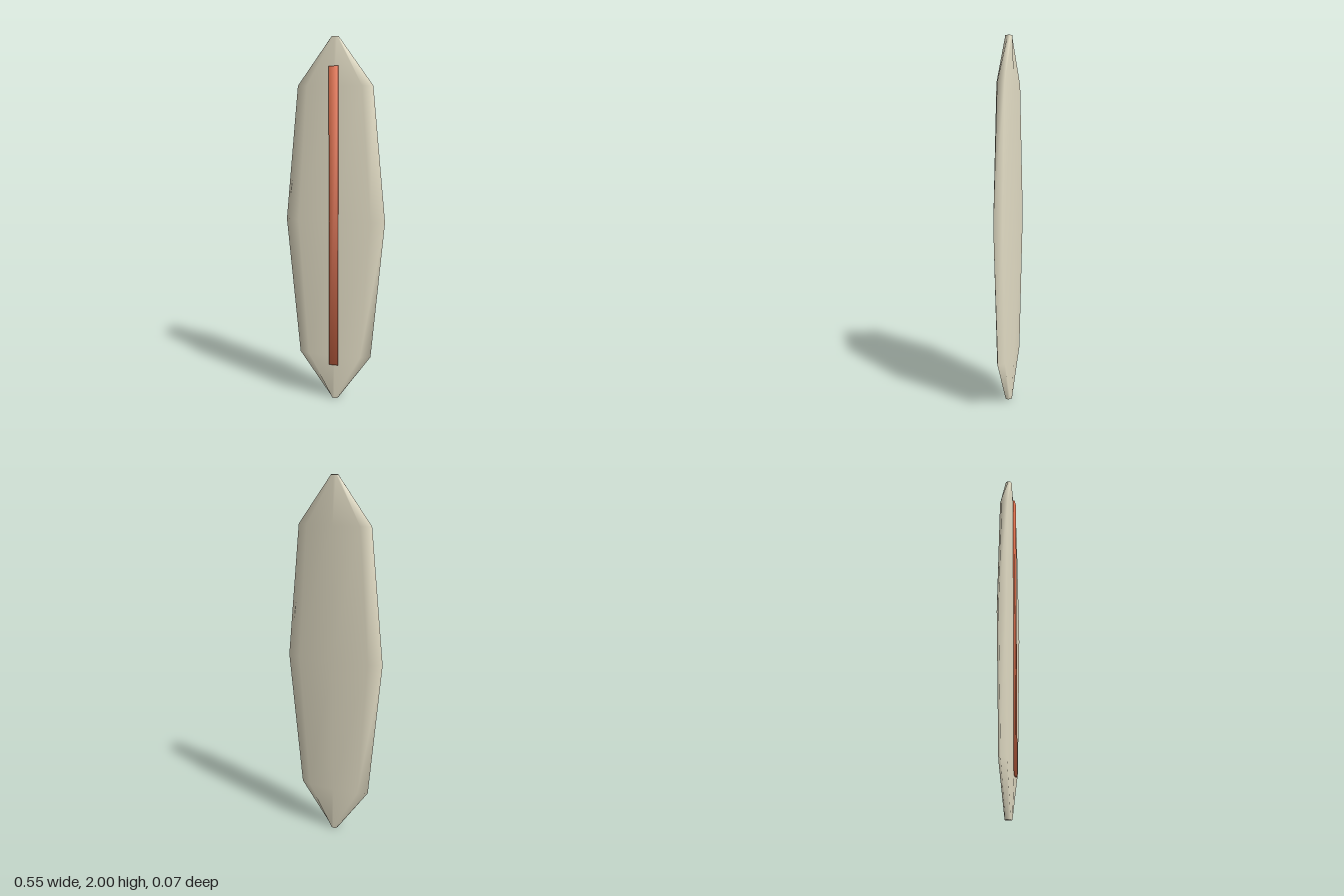
import * as THREE from 'three';

// Half-round hull section, counter-clockwise seen from above: [x, z]
const section = [
  [0.275, -0.004], [0.2, -0.029], [0, -0.038], [-0.2, -0.029],
  [-0.275, -0.004], [-0.2, 0.02], [0, 0.03], [0.2, 0.02],
];
// Stations along the board: [y, width scale, thickness scale]
const stations = [
  [0, 0.07, 0.57], [0.26, 0.74, 0.88], [1.03, 1, 1], [1.75, 0.74, 0.88], [2, 0.07, 0.57],
];

function boardGeometry() {
  const n = section.length, pos = [], index = [];
  for (const [y, w, t] of stations)
    for (const [x, z] of section) pos.push(x * w, y, -0.004 + (z + 0.004) * t);
  for (let s = 0; s < stations.length - 1; s++)
    for (let i = 0; i < n; i++) {
      const a = s * n + i, b = s * n + (i + 1) % n;
      index.push(a, b, b + n, a, b + n, a + n);
    }
  // Blunt caps at tail and nose
  const top = (stations.length - 1) * n;
  for (let i = 1; i < n - 1; i++) index.push(0, i + 1, i, top, top + i, top + i + 1);
  const g = new THREE.BufferGeometry();
  g.setAttribute('position', new THREE.Float32BufferAttribute(pos, 3));
  g.setIndex(index);
  g.computeVertexNormals();
  return g;
}

// Thin box whose normals blend around its corners
function softBox(w, h, d) {
  const g = new THREE.BoxGeometry(w, h, d);
  const p = g.attributes.position, v = new THREE.Vector3();
  for (let i = 0; i < p.count; i++) {
    v.set(Math.sign(p.getX(i)), Math.sign(p.getY(i)), Math.sign(p.getZ(i))).normalize();
    g.attributes.normal.setXYZ(i, v.x, v.y, v.z);
  }
  return g;
}

export function createModel() {
  const cream = new THREE.MeshStandardMaterial({ color: 0xe6e0c8 });
  cream.name = 'cream';
  const orange = new THREE.MeshStandardMaterial({ color: 0xe0704c });
  orange.name = 'orange';

  const group = new THREE.Group();
  group.name = 'surfboard';

  const board = new THREE.Mesh(boardGeometry(), cream);
  board.name = 'board';

  // Long stripe down the deck
  const stripe = new THREE.Mesh(softBox(0.05, 1.64, 0.0095), orange);
  stripe.name = 'deckStripe';
  stripe.position.set(0, 1.03, 0.0315);

  group.add(board, stripe);
  return group;
}
